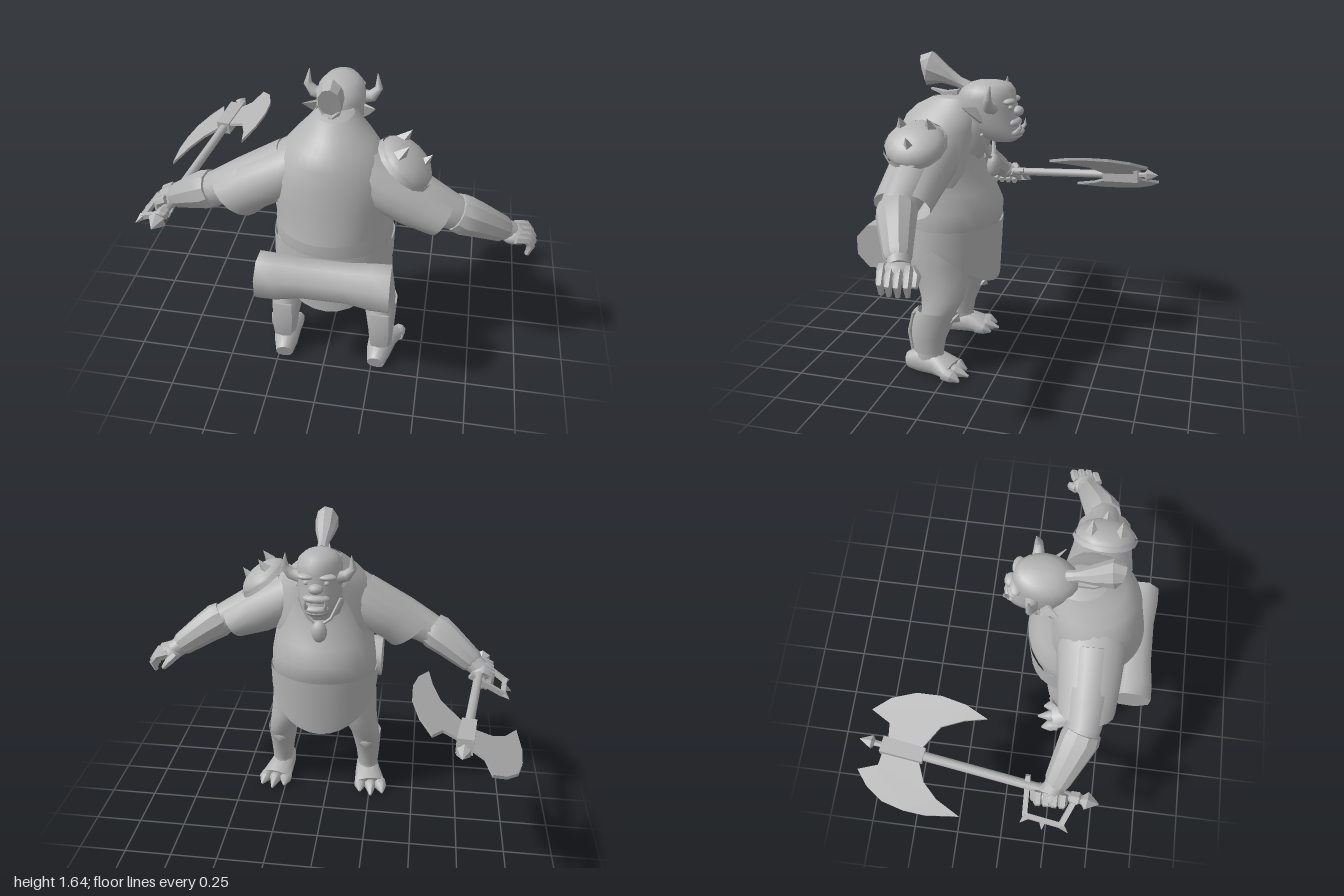
import * as THREE from 'three';
import { toCreasedNormals } from 'three/addons/utils/BufferGeometryUtils.js';

const CX = 0.03; // body centre line
const V = (x, y, z) => new THREE.Vector3(x, y, z);

// Skin a list of rings of points; winding is fixed so faces point outwards
function loft(rings, { closed = true, cap = true, crease = 0.85 } = {}) {
  const n = rings[0].length, pos = [], idx = [];
  rings.forEach(r => r.forEach(p => pos.push(p.x, p.y, p.z)));
  for (let i = 0; i < rings.length - 1; i++)
    for (let j = 0; j < (closed ? n : n - 1); j++) {
      const a = i * n + j, b = i * n + (j + 1) % n;
      idx.push(a, b, a + n, b, b + n, a + n);
    }
  if (cap) [0, rings.length - 1].forEach((k, end) => {
    const m = rings[k].reduce((s, p) => s.add(p), V(0, 0, 0)).divideScalar(n);
    const c = pos.push(m.x, m.y, m.z) / 3 - 1;
    for (let j = 0; j < n; j++) {
      const a = k * n + j, b = k * n + (j + 1) % n;
      idx.push(...(end ? [a, b, c] : [b, a, c]));
    }
  });
  const g = new THREE.BufferGeometry();
  g.setAttribute('position', new THREE.Float32BufferAttribute(pos, 3));
  g.computeBoundingBox();
  const mid = g.boundingBox.getCenter(V(0, 0, 0));
  const pt = k => V(pos[3 * k], pos[3 * k + 1], pos[3 * k + 2]).sub(mid);
  let vol = 0;
  for (let i = 0; i < idx.length; i += 3) vol += pt(idx[i]).dot(pt(idx[i + 1]).cross(pt(idx[i + 2])));
  if (vol < 0) idx.reverse();
  g.setIndex(idx);
  return toCreasedNormals(g, crease);
}

// Level oval rings from rows [y, zBack, zFront, halfWidth, centreX]; angle 0 is the back
const ovalPoint = ([y, zb, zf, w, cx = CX], a) =>
  V(cx + Math.sin(a) * w, y, (zb + zf) / 2 + Math.cos(a) * (zb - zf) / 2);
const stack = (rows, n = 20, opt) => loft(rows.map(r =>
  Array.from({ length: n }, (_, j) => ovalPoint(r, j / n * Math.PI * 2))), opt);

// Tube along rows [x, y, z, r1, r2] with oval sections square to the path
function limb(rows, n = 12, opt) {
  const p = rows.map(r => V(r[0], r[1], r[2]));
  return loft(rows.map((r, i) => {
    const t = p[Math.min(i + 1, p.length - 1)].clone().sub(p[Math.max(i - 1, 0)]).normalize();
    const u = t.clone().cross(Math.abs(t.z) < 0.75 ? V(0, 0, 1) : V(0, 1, 0)).normalize();
    const v = u.clone().cross(t);
    return Array.from({ length: n }, (_, j) => {
      const a = (j + 0.5) / n * Math.PI * 2;
      return p[i].clone().addScaledVector(u, Math.cos(a) * r[3]).addScaledVector(v, Math.sin(a) * (r[4] ?? r[3]));
    });
  }), opt);
}

export function createModel() {
  const model = new THREE.Group();
  const grey = new THREE.MeshStandardMaterial({ color: 0xb4b4b4, side: THREE.DoubleSide });
  grey.name = 'plain grey';
  const add = (name, geo, parent = model) => {
    const m = new THREE.Mesh(geo, grey);
    m.name = name;
    parent.add(m);
    return m;
  };
  const blob = (name, x, y, z, sx, sy, sz) => {
    const m = add(name, new THREE.SphereGeometry(1, 12, 8));
    m.position.set(x, y, z);
    m.scale.set(sx, sy, sz);
  };
  const OPEN = { cap: false };

  // Torso and neck
  add('torso', stack([[0.62, 0.5, 0.14, 0.24], [0.72, 0.53, 0.07, 0.275], [0.8, 0.54, 0.035, 0.29],
    [0.88, 0.535, 0.03, 0.285], [0.97, 0.535, 0.07, 0.27], [1.08, 0.54, 0.13, 0.26], [1.2, 0.54, 0.15, 0.26],
    [1.3, 0.515, 0.15, 0.2], [1.36, 0.47, 0.14, 0.15], [1.42, 0.38, 0.13, 0.08]], 24));
  add('neck', limb([[CX, 1.12, 0.3, 0.15, 0.15], [CX, 1.24, 0.21, 0.13, 0.13], [CX, 1.36, 0.13, 0.1, 0.1]]));

  // Open shirt: rows of an oval plus the half-angle it wraps round from the back
  const shirt = [[0.92, 0.62, 0.1, 0.265, 0.5], [1.0, 0.605, 0.08, 0.272, 0.66], [1.08, 0.59, 0.1, 0.28, 0.76],
    [1.18, 0.575, 0.12, 0.28, 0.82], [1.27, 0.55, 0.125, 0.24, 0.86], [1.33, 0.525, 0.115, 0.185, 0.88],
    [1.38, 0.47, 0.12, 0.13, 0.88], [1.425, 0.38, 0.14, 0.09, 0.88]];
  add('shirt', loft(shirt.map(([y, b, f, w, k]) => Array.from({ length: 29 }, (_, j) =>
    ovalPoint([y, b, f, w], (j / 14 - 1) * k * Math.PI))), { closed: false, cap: false, crease: 1.2 }));

  // Loincloth with points at the front and back
  add('loincloth', loft([0, 0.35, 0.7, 1].map(k => Array.from({ length: 32 }, (_, j) => {
    const a = j / 32 * Math.PI * 2, hem = 0.69 - 0.225 * Math.abs(Math.cos(a)) ** 1.2;
    return ovalPoint([0.79 + (hem - 0.79) * k, 0.55 + 0.015 * k, 0.03 + 0.02 * k, 0.297], a);
  })), OPEN));

  // Bedroll across the lower back
  add('bedroll', limb([[-0.28, 0.695, 0.6, 0.122, 0.112], [-0.2, 0.695, 0.602, 0.12, 0.11], [-0.08, 0.7, 0.6, 0.103, 0.098],
    [0.14, 0.7, 0.6, 0.103, 0.098], [0.26, 0.695, 0.602, 0.12, 0.11], [0.345, 0.695, 0.6, 0.122, 0.112]], 8));

  // Head and face
  add('head', stack([[1.215, 0.08, -0.045, 0.06], [1.24, 0.15, -0.08, 0.085], [1.285, 0.22, -0.07, 0.102],
    [1.33, 0.25, -0.058, 0.112], [1.38, 0.26, -0.052, 0.115], [1.43, 0.255, -0.048, 0.115],
    [1.47, 0.23, -0.042, 0.105], [1.5, 0.185, -0.02, 0.075], [1.513, 0.14, 0.03, 0.03]]));
  blob('nose', CX, 1.365, -0.055, 0.038, 0.026, 0.032);
  blob('lowerLip', CX, 1.262, -0.048, 0.065, 0.022, 0.042);
  blob('upperLip', CX, 1.31, -0.04, 0.07, 0.024, 0.035);
  add('pendantCord', limb([[-0.08, 1.26, 0.1, 0.01], [-0.03, 1.15, 0.085, 0.01], [CX, 1.11, 0.075, 0.01],
    [0.09, 1.15, 0.085, 0.01], [0.14, 1.26, 0.1, 0.01]], 5));
  blob('pendant', CX, 1.08, 0.07, 0.042, 0.06, 0.035);

  // Topknot flaring out behind the head
  add('topknot', limb([[CX, 1.475, 0.2, 0.03], [CX, 1.497, 0.25, 0.028], [CX, 1.53, 0.32, 0.05, 0.045],
    [CX, 1.56, 0.4, 0.062, 0.088], [CX, 1.553, 0.425, 0.05, 0.075]], 9, { crease: 0.3 }));
  add('looseHair', limb([[CX, 1.45, 0.25, 0.045, 0.012], [CX, 1.44, 0.32, 0.04, 0.012], [CX, 1.46, 0.395, 0.012, 0.006]], 4));

  for (const s of [-1, 1]) {
    const side = s < 0 ? 'right' : 'left';
    const at = rows => rows.map(([d, ...rest]) => [CX + s * d, ...rest]);

    // Horns, ears, brows, eyes and tusks
    add(side + 'Horn', limb(at([[0.09, 1.39, 0.05, 0.034], [0.14, 1.4, 0.055, 0.029], [0.17, 1.44, 0.05, 0.02],
      [0.162, 1.51, 0.04, 0.002]]), 8));
    add(side + 'Ear', limb(at([[0.095, 1.345, 0.1, 0.05, 0.014], [0.13, 1.37, 0.13, 0.035, 0.01],
      [0.17, 1.4, 0.18, 0.002, 0.002]]), 4));
    blob(side + 'Brow', CX + s * 0.05, 1.418, -0.025, 0.05, 0.016, 0.03);
    blob(side + 'Eye', CX + s * 0.05, 1.388, -0.03, 0.015, 0.012, 0.015);
    add(side + 'Tusk', limb(at([[0.045, 1.268, -0.065, 0.012], [0.05, 1.29, -0.082, 0.009], [0.05, 1.32, -0.083, 0.001]]), 6));

    // Sleeve: rows of top and bottom points, centre z and half depth
    const sleeve = [[0.13, 1.355, 0.17, 1.03, 0.35, 0.14], [0.22, 1.295, 0.22, 1.0, 0.35, 0.165],
      [0.42, 1.18, 0.31, 0.95, 0.36, 0.15], [0.57, 1.075, s < 0 ? 0.36 : 0.46, 0.905, 0.365, 0.14]];
    add(side + 'Sleeve', loft(sleeve.map(([tx, ty, bx, by, z, rz]) => Array.from({ length: 16 }, (_, j) => {
      const a = j / 8 * Math.PI, c = Math.cos(a) / 2;
      return V(CX + s * ((tx + bx) / 2 + c * (tx - bx)), (ty + by) / 2 + c * (ty - by), z + Math.sin(a) * rz);
    })), OPEN));

    // Arm and bracer
    add(side + 'Arm', limb(at([[0.2, 1.18, 0.35, 0.12], [0.42, 1.07, 0.36, 0.105], [0.55, 1.005, 0.36, 0.088],
      [0.63, 0.965, 0.34, 0.08], [0.76, 0.885, 0.285, 0.06], [0.85, 0.83, 0.245, 0.05]])));
    add(side + 'Bracer', limb(at([[0.575, 1.0, 0.36, 0.09], [0.61, 0.98, 0.35, 0.098], [0.67, 0.945, 0.325, 0.088],
      [0.8, 0.862, 0.27, 0.066], [0.815, 0.85, 0.262, 0.055]]), 10, { crease: 0.5 }));

    // Hand: open on one side, gripping the shaft on the other
    blob(side + 'Palm', CX + s * 0.86, 0.82, 0.245, 0.065, 0.045, 0.07);
    for (let i = 0; i < 4; i++) {
      const z = 0.185 + i * 0.04, reach = i === 1 || i === 2 ? 0.01 : 0;
      add(side + 'Finger', limb(at(s > 0
        ? [[0.87, 0.835, z + 0.01, 0.022], [0.925 + reach, 0.825, z - 0.01, 0.022], [0.95 + reach, 0.79, z - 0.015, 0.02], [0.935 + reach, 0.74, z - 0.01, 0.012]]
        : [[0.86, 0.85, z, 0.024], [0.905, 0.83, z, 0.024], [0.905, 0.775, z, 0.022], [0.85, 0.755, z, 0.018]]), 6));
    }
    add(side + 'Thumb', limb(at([[0.83, 0.82, 0.2, 0.026], [0.86, 0.795, 0.165, 0.024], [0.89, 0.76, 0.16, 0.014]]), 6));

    // Leg, greave and knee point
    const leg = (name, rows, opt) => add(side + name, stack(rows.map(([y, b, f, w, d]) => [y, b, f, w, CX + s * d]), 14, opt));
    leg('Leg', [[0.76, 0.5, 0.1, 0.14, 0.14], [0.6, 0.49, 0.15, 0.125, 0.17], [0.5, 0.43, 0.155, 0.105, 0.195],
      [0.42, 0.4, 0.17, 0.088, 0.222], [0.35, 0.39, 0.205, 0.076, 0.243], [0.25, 0.43, 0.255, 0.065, 0.255],
      [0.13, 0.42, 0.28, 0.055, 0.258], [0.05, 0.44, 0.26, 0.06, 0.262]]);
    leg('Greave', [[0.12, 0.44, 0.275, 0.06, 0.258], [0.2, 0.452, 0.26, 0.068, 0.256], [0.29, 0.445, 0.222, 0.079, 0.25],
      [0.355, 0.415, 0.195, 0.086, 0.245]], OPEN);
    add(side + 'KneePoint', limb(at([[0.245, 0.35, 0.25, 0.07, 0.045], [0.25, 0.315, 0.21, 0.04, 0.03], [0.252, 0.3, 0.185, 0.002]]), 6));
    add(side + 'CalfPlate', limb(at([[0.256, 0.13, 0.435, 0.05, 0.01], [0.254, 0.24, 0.447, 0.06, 0.012],
      [0.252, 0.34, 0.425, 0.055, 0.01]]), 6));

    // Flat-soled foot with three toes
    const sole = geo => {
      const p = geo.attributes.position;
      for (let i = 0; i < p.count; i++) p.setY(i, Math.max(0, p.getY(i)));
      geo.computeVertexNormals();
      return toCreasedNormals(geo, 0.85);
    };
    add(side + 'Foot', sole(limb(at([[0.245, 0.04, 0.475, 0.045, 0.045], [0.25, 0.055, 0.41, 0.062, 0.07],
      [0.262, 0.055, 0.31, 0.075, 0.065], [0.28, 0.035, 0.22, 0.092, 0.042]]))));
    for (const i of [-1, 0, 1])
      add(side + 'Toe', sole(limb(at([[0.28 + i * 0.055, 0.03, 0.25, 0.036, 0.035], [0.285 + i * 0.062, 0.03, 0.2, 0.034, 0.034],
        [0.292 + i * 0.066, 0.012, 0.13 + Math.abs(i) * 0.03, 0.006, 0.006]]), 8)));
  }

  // Domed pauldron with rim and three spikes
  const pauldron = new THREE.Group();
  pauldron.name = 'pauldron';
  pauldron.position.set(0.365, 1.245, 0.36);
  pauldron.rotation.z = -0.65;
  model.add(pauldron);
  add('pauldronDome', new THREE.SphereGeometry(1, 14, 5, 0, Math.PI * 2, 0, Math.PI / 2), pauldron).scale.set(0.142, 0.075, 0.15);
  add('pauldronRim', new THREE.CylinderGeometry(0.146, 0.152, 0.02, 14, 1, true), pauldron).scale.z = 1.05;
  for (const [x, z] of [[-0.065, 0.07], [-0.065, -0.07], [0.06, 0]])
    add('pauldronSpike', toCreasedNormals(new THREE.ConeGeometry(0.032, 0.07, 4), 0.3), pauldron).position.set(x, 0.08, z);

  // Axe: shaft line and the tilted plane that holds blades and guard
  const shaftX = z => -0.79 - 0.13 * (0.03 - z) * -1 * -1 + 0.26 * (0.03 - z);
  const planeY = (x, z) => 0.832 - 0.075 * (z - 0.03) + 0.56 * (x - shaftX(z));
  const onShaft = rows => rows.map(([z, ...r]) => [shaftX(z), planeY(shaftX(z), z), z, ...r]);
  add('axeShaft', limb(onShaft([[0.4, 0.024], [-0.6, 0.024]]), 8));
  add('axeCollar', limb(onShaft([[-0.39, 0.05], [-0.6, 0.055]]), 4, { crease: 0.3 }));
  add('axeTip', limb(onShaft([[-0.6, 0.015], [-0.635, 0.016], [-0.65, 0.036], [-0.71, 0.002]]), 6, { crease: 0.3 }));
  add('axePommel', limb(onShaft([[0.34, 0.03], [0.38, 0.034], [0.395, 0.02], [0.42, 0.048], [0.48, 0.004]]), 6, { crease: 0.3 }));

  // Blades: outlines in x, z sheared onto the tilted plane
  const blades = {
    broadBlade: [[-0.71, -0.585], [-0.8, -0.61], [-0.83, -0.71], [-0.9, -0.66], [-0.96, -0.58], [-0.99, -0.47],
      [-1, -0.36], [-0.985, -0.19], [-0.92, -0.31], [-0.85, -0.38], [-0.74, -0.42]],
    narrowBlade: [[-0.7, -0.57], [-0.61, -0.57], [-0.56, -0.66], [-0.5, -0.57], [-0.465, -0.45], [-0.465, -0.33],
      [-0.49, -0.21], [-0.54, -0.1], [-0.56, -0.21], [-0.6, -0.32], [-0.7, -0.4]],
  };
  for (const [name, pts] of Object.entries(blades)) {
    const g = new THREE.ExtrudeGeometry(new THREE.Shape(pts.map(([x, z]) => new THREE.Vector2(x, -z))),
      { depth: 0.016, bevelEnabled: false });
    g.rotateX(-Math.PI / 2);
    const p = g.attributes.position;
    for (let i = 0; i < p.count; i++) p.setY(i, p.getY(i) - 0.008 + planeY(p.getX(i), p.getZ(i)));
    g.computeVertexNormals();
    add(name, g);
  }

  // Spiked knuckle guard
  const guard = [[-0.76, 0.125], [-0.94, 0.13], [-0.965, 0.31], [-0.84, 0.365]].map(([x, z]) => [x, planeY(x, z), z, 0.018, 0.018]);
  for (let i = 0; i < 3; i++) add('knuckleGuard', limb([guard[i], guard[i + 1]], 4, { crease: 0.3 }));
  for (const [x, z, dx, dz] of [[-0.94, 0.14, -0.035, -0.03], [-0.955, 0.22, -0.04, 0], [-0.965, 0.31, -0.03, 0.04]])
    add('guardSpike', limb([[x, planeY(x, z), z, 0.022], [x + dx, planeY(x + dx, z + dz), z + dz, 0.001]], 4, { crease: 0.3 }));
  return model;
}
